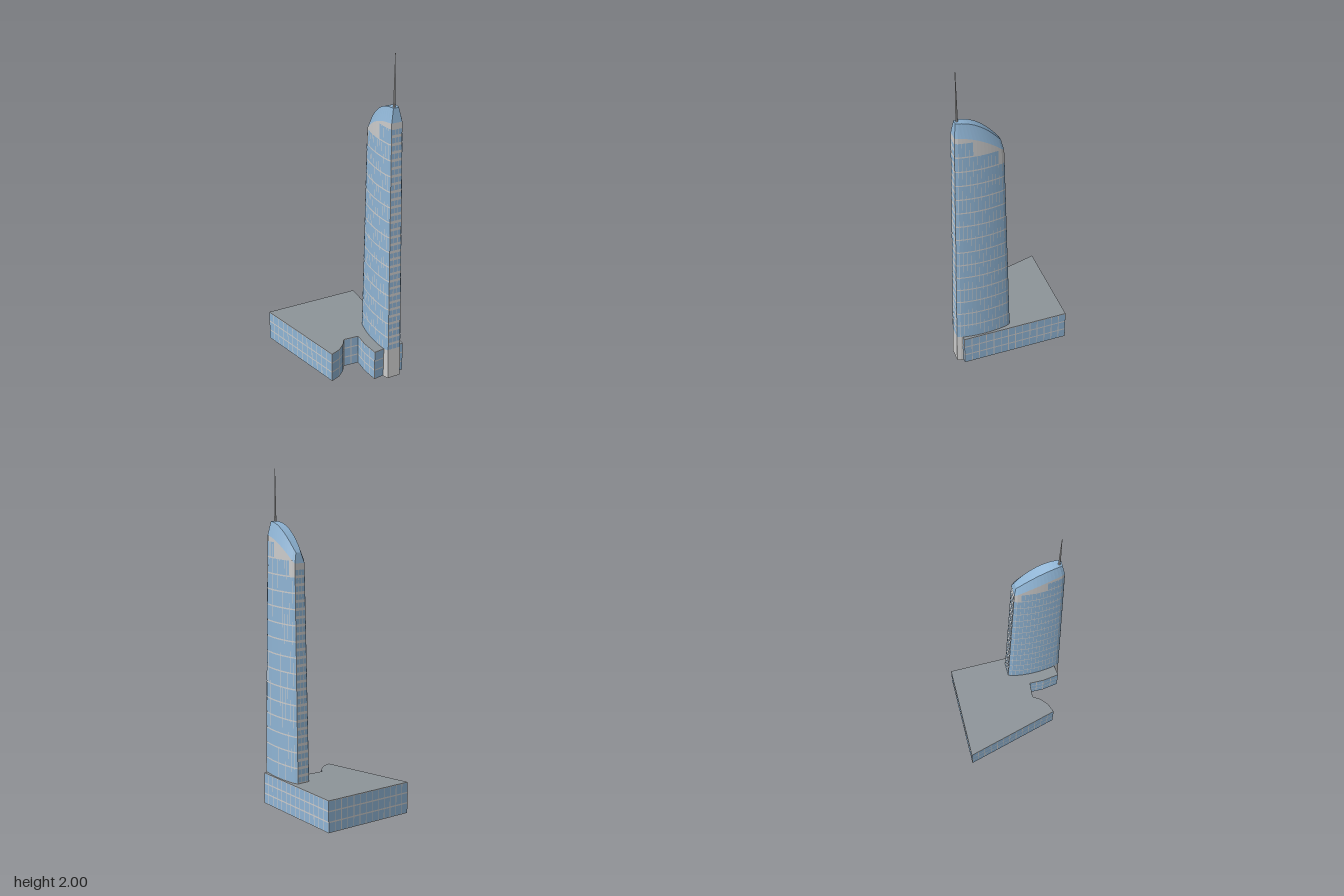
import * as THREE from 'three';

const V = (x, y, z) => new THREE.Vector3(x, y, z);
const material = (color) => new THREE.MeshStandardMaterial({ color, side: THREE.DoubleSide, flatShading: true });

// Flat quads, each given as four corners, gathered into one mesh
function quadMesh(name, quads, mat) {
  const pos = [];
  for (const [a, b, c, d] of quads) for (const p of [a, b, c, a, c, d]) pos.push(p.x, p.y, p.z);
  const geo = new THREE.BufferGeometry();
  geo.setAttribute('position', new THREE.Float32BufferAttribute(pos, 3));
  geo.computeVertexNormals();
  const mesh = new THREE.Mesh(geo, mat);
  mesh.name = name;
  return mesh;
}

// Upright quad over the plan segment p-q, facing outwards
const upright = (place, p, q, y0, y1) => [place(p, y0), place(p, y1), place(q, y1), place(q, y0)];
const mix = (p, q, t) => [p[0] + (q[0] - p[0]) * t, p[1] + (q[1] - p[1]) * t];

// Grid of window panes lying just in front of a wall, kept below its limit
function panes(out, place, p, q, { cols, y0, pitch, limit, gapX, gapY }) {
  const width = Math.hypot(q[0] - p[0], q[1] - p[1]) / cols;
  const g = gapX / width / 2;
  for (let y = y0; y + pitch <= limit + 1e-4; y += pitch) {
    for (let c = 0; c < cols; c++) {
      const a = mix(p, q, (c + g) / cols), b = mix(p, q, (c + 1 - g) / cols);
      const quad = upright(place, a, b, y + gapY / 2, y + pitch - gapY / 2);
      const n = quad[1].clone().sub(quad[0]).cross(quad[3].clone().sub(quad[0])).normalize();
      quad.forEach((v) => v.addScaledVector(n, 0.0012));
      out.push(quad);
    }
  }
}

export function createModel() {
  const model = new THREE.Group();
  const grey = material(0xcccccc);
  const glass = material(0x8fb4d4);
  const roofGrey = material(0x8d9499);

  // Podium: open-bottomed walls, windows and a flat roof
  const podiumHeight = 0.19;
  const plan = [
    [-0.09, -0.34], [0.43, 0.05], [0.405, 0.085], [0.355, 0.155], [0.325, 0.21], [0.235, 0.16],
    [0.165, 0.105], [0.105, 0.175], [0.123, 0.22], [0.128, 0.28], [0.112, 0.34], [-0.437, 0.118],
  ];
  const ground = (p, y) => V(p[0], y, p[1]);
  const podium = new THREE.Group();
  podium.name = 'podium';
  const walls = [], podiumPanes = [];
  plan.forEach((p, i) => {
    const q = plan[(i + 1) % plan.length];
    const length = Math.hypot(q[0] - p[0], q[1] - p[1]);
    walls.push(upright(ground, p, q, 0, podiumHeight));
    panes(podiumPanes, ground, p, q, {
      cols: Math.max(1, Math.round(length / 0.045)), y0: 0, pitch: podiumHeight / 3,
      limit: podiumHeight, gapX: 0.005, gapY: 0.008,
    });
  });
  const roof = new THREE.Mesh(
    new THREE.ShapeGeometry(new THREE.Shape(plan.map(([x, z]) => new THREE.Vector2(x, -z)))), roofGrey);
  roof.rotation.x = -Math.PI / 2;
  roof.position.y = podiumHeight;
  roof.name = 'podiumRoof';
  podium.add(quadMesh('podiumWalls', walls, grey), quadMesh('podiumWindows', podiumPanes, glass), roof);
  model.add(podium);

  // Tower plan: flat ends, chamfers and two bowed long sides
  const steps = 12;
  const arc = (side) => Array.from({ length: steps + 1 }, (_, i) => {
    const u = side * 0.15 * (1 - (2 * i) / steps);
    return [u, side * (0.05 + 0.016 * (1 - (u / 0.15) ** 2))];
  });
  const outline = [
    [0.171, -0.04], [0.171, 0.04], ...arc(1),
    [-0.171, 0.04], [-0.171, -0.04], ...arc(-1),
  ];
  const N = outline.length;
  // The tower stands at an angle and tapers evenly with height
  const place = ([u, n], y) => {
    const s = 1 - 0.125 * y;
    return V(0.278 + s * (0.8 * u - 0.6 * n), y, 0.031 + s * (0.6 * u + 0.8 * n));
  };
  const fall = (u) => (0.171 - u) / 0.342;
  const eave = (u) => 1.62 - 0.14 * fall(u) ** 2;
  const crest = (u) => 1.7 - 0.16 * fall(u) ** 2.1;
  const crown = ([u, n]) => place([u * 0.92, n * 0.52], crest(u));

  const shell = [], windows = [], cap = [];
  outline.forEach((p, i) => {
    const q = outline[(i + 1) % N];
    const pTop = place(p, eave(p[0])), qTop = place(q, eave(q[0]));
    shell.push([place(p, 0), pTop, qTop, place(q, 0)]);
    cap.push([pTop, crown(p), crown(q), qTop]);

    // Close-set bands on the ends, tall panes on the sides
    const isEnd = p[0] === q[0];
    panes(windows, place, p, q, {
      cols: isEnd ? 3 : 1, y0: podiumHeight, pitch: isEnd ? 0.0467 : 0.0934,
      limit: Math.min(eave(p[0]), eave(q[0])) - 0.01,
      gapX: isEnd ? 0.004 : 0.002, gapY: isEnd ? 0.016 : 0.008,
    });
  });
  // Curved glass top and flat underside, spanned from side to side
  const under = [];
  for (let i = 1; i <= steps + 2; i++) {
    const strip = [outline[i + 1], outline[i], outline[(N + 1 - i) % N], outline[N - i]];
    cap.push(strip.map(crown));
    under.push(strip.map((p) => place(p, 0)).reverse());
  }
  const tower = new THREE.Group();
  tower.name = 'tower';
  tower.add(
    quadMesh('towerWalls', shell, grey),
    quadMesh('towerWindows', windows, glass),
    quadMesh('glassCrown', cap, glass),
    quadMesh('towerUnderside', under, grey),
  );

  // Spire at the high end of the crown
  const spire = new THREE.Mesh(new THREE.CylinderGeometry(0.0015, 0.007, 0.32, 8), grey);
  spire.position.set(0.363, 1.84, 0.1);
  spire.name = 'spire';
  tower.add(spire);
  model.add(tower);
  return model;
}
